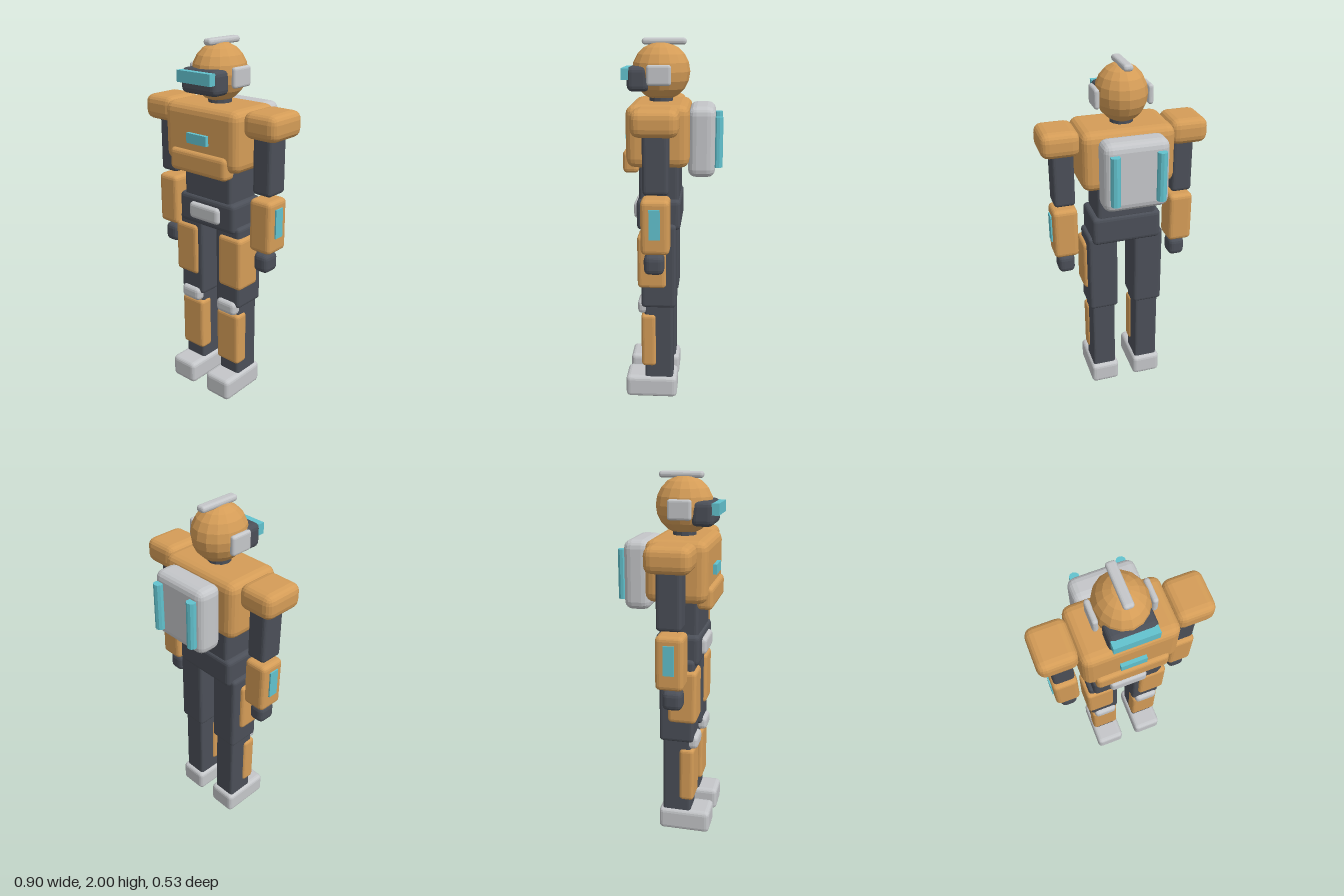
import * as THREE from 'three';
import { RoundedBoxGeometry } from 'three/addons/geometries/RoundedBoxGeometry.js';

const material = (name, color) => {
  const m = new THREE.MeshStandardMaterial({ color });
  m.name = name;
  return m;
};

export function createModel() {
  const orange = material('orange armour', 0xd49c57);
  const dark = material('dark frame', 0x4b4f58);
  const grey = material('light grey', 0xc4c6c9);
  const teal = material('teal light', 0x62c2ce);

  const model = new THREE.Group();
  model.name = 'robot';

  // Faceted mesh from any geometry
  function add(parent, name, geometry, mat, x = 0, y = 0, z = 0) {
    const g = geometry.index ? geometry.toNonIndexed() : geometry;
    g.computeVertexNormals();
    const mesh = new THREE.Mesh(g, mat);
    mesh.name = name;
    mesh.position.set(x, y, z);
    parent.add(mesh);
    return mesh;
  }

  // Box given by its limits on each axis; r is the edge rounding
  function box(parent, name, mat, [x0, x1], [y0, y1], [z0, z1], r = 0) {
    const w = x1 - x0, h = y1 - y0, d = z1 - z0;
    const g = r > 0 ? new RoundedBoxGeometry(w, h, d, 2, r) : new THREE.BoxGeometry(w, h, d);
    return add(parent, name, g, mat, (x0 + x1) / 2, (y0 + y1) / 2, (z0 + z1) / 2);
  }

  function group(name) {
    const g = new THREE.Group();
    g.name = name;
    model.add(g);
    return g;
  }

  // Head
  const head = group('head');
  const skull = new THREE.SphereGeometry(0.152, 16, 10);
  skull.scale(0.9, 1, 1.02);
  add(head, 'helmet', skull, orange, 0, 1.829, 0.065);
  box(head, 'crest', grey, [-0.026, 0.026], [1.966, 2], [-0.07, 0.165], 0.015);
  box(head, 'visorHousing', dark, [-0.12, 0.12], [1.73, 1.86], [0.12, 0.238], 0.03);
  box(head, 'visor', teal, [-0.112, 0.112], [1.79, 1.85], [0.225, 0.266]);
  add(head, 'neck', new THREE.CylinderGeometry(0.063, 0.063, 0.12, 12), dark, 0, 1.69, 0.065);

  // Torso
  const torso = group('torso');
  box(torso, 'chest', orange, [-0.253, 0.253], [1.352, 1.676], [-0.097, 0.233], 0.05);
  box(torso, 'bellyPlate', orange, [-0.195, 0.195], [1.315, 1.437], [0.17, 0.255], 0.025);
  box(torso, 'chestLight', teal, [-0.068, 0.068], [1.48, 1.533], [0.225, 0.253]);
  box(torso, 'abdomen', dark, [-0.165, 0.165], [1.15, 1.4], [-0.04, 0.175], 0.02);
  box(torso, 'hips', dark, [-0.195, 0.195], [1.003, 1.172], [-0.05, 0.187], 0.025);
  box(torso, 'buckle', grey, [-0.104, 0.104], [1.043, 1.135], [0.165, 0.211], 0.02);

  // Backpack
  const pack = group('backpack');
  box(pack, 'packBody', grey, [-0.176, 0.176], [1.288, 1.66], [-0.23, -0.085], 0.045);

  // Paired parts, mirrored in x
  for (const s of [1, -1]) {
    const side = s > 0 ? 'left' : 'right';
    const part = (parent, name, mat, [x0, x1], y, z, r) =>
      box(parent, name, mat, s > 0 ? [x0, x1] : [-x1, -x0], y, z, r);

    part(head, side + 'Ear', grey, [0.128, 0.158], [1.765, 1.87], [0.003, 0.13], 0.014);
    add(pack, side + 'PackTube', new THREE.CylinderGeometry(0.026, 0.026, 0.265, 10), teal, s * 0.122, 1.474, -0.243);

    const arm = group(side + 'Arm');
    part(arm, 'shoulder', orange, [0.243, 0.452], [1.54, 1.677], [-0.052, 0.188], 0.045);
    part(arm, 'upperArm', dark, [0.273, 0.39], [1.245, 1.58], [0, 0.133], 0.02);
    part(arm, 'forearm', orange, [0.264, 0.402], [0.932, 1.222], [-0.004, 0.145], 0.025);
    part(arm, 'forearmLight', teal, [0.395, 0.41], [1.02, 1.178], [0.043, 0.1]);
    part(arm, 'hand', dark, [0.283, 0.378], [0.812, 0.92], [0.026, 0.133], 0.03);

    const leg = group(side + 'Leg');
    part(leg, 'thigh', dark, [0.048, 0.217], [0.56, 1.04], [-0.027, 0.165], 0.02);
    part(leg, 'thighPlate', orange, [0.079, 0.237], [0.683, 0.983], [0.025, 0.182], 0.022);
    part(leg, 'kneePad', grey, [0.066, 0.2], [0.515, 0.595], [0.1, 0.188], 0.025);
    part(leg, 'shin', dark, [0.064, 0.201], [0.1, 0.58], [-0.01, 0.15], 0.015);
    part(leg, 'shinPlate', orange, [0.054, 0.213], [0.197, 0.515], [0.085, 0.168], 0.02);
    part(leg, 'foot', grey, [0.047, 0.217], [0, 0.13], [-0.032, 0.26], 0.025);
  }

  return model;
}
